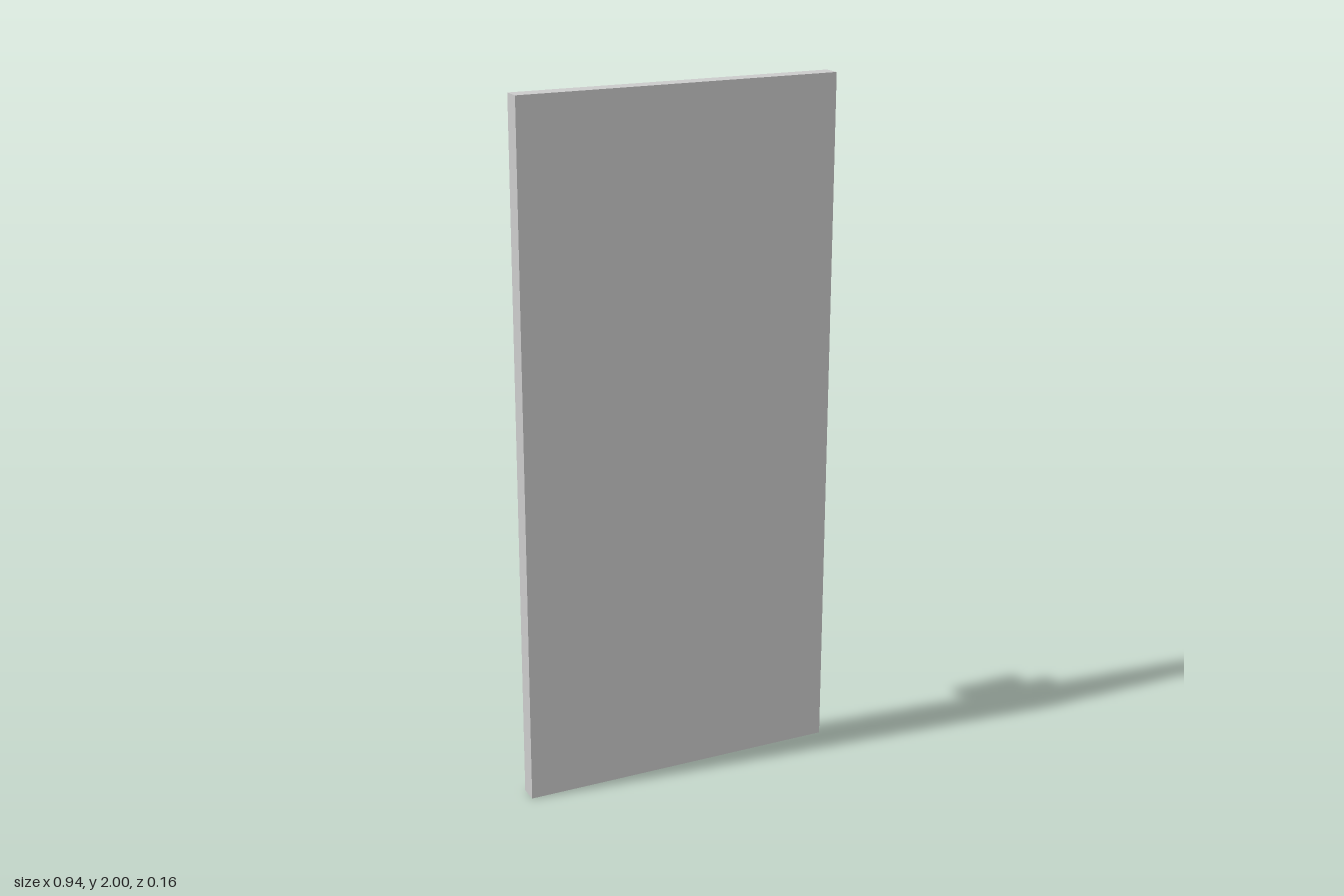
import * as THREE from 'three';

const material = new THREE.MeshStandardMaterial({ color: 0xcccccc, flatShading: true });

// Box given by its lower and upper bound on each axis
function block(name, [x0, x1], [y0, y1], [z0, z1]) {
  const mesh = new THREE.Mesh(new THREE.BoxGeometry(x1 - x0, y1 - y0, z1 - z0), material);
  mesh.position.set((x0 + x1) / 2, (y0 + y1) / 2, (z0 + z1) / 2);
  mesh.name = name;
  return mesh;
}

export function createModel() {
  const door = new THREE.Group();
  door.name = 'door';

  // Plain slab
  door.add(block('doorPanel', [-0.471, 0.471], [0, 2], [0.026, 0.079]));

  // Handle on the back: upright plate with a lever across it
  const handle = new THREE.Group();
  handle.name = 'doorHandle';
  handle.add(
    block('handlePlate', [0.262, 0.366], [0.898, 1.16], [-0.026, 0.026]),
    block('handleLever', [0.157, 0.366], [1.003, 1.055], [-0.079, -0.026]),
  );
  door.add(handle);

  return door;
}
